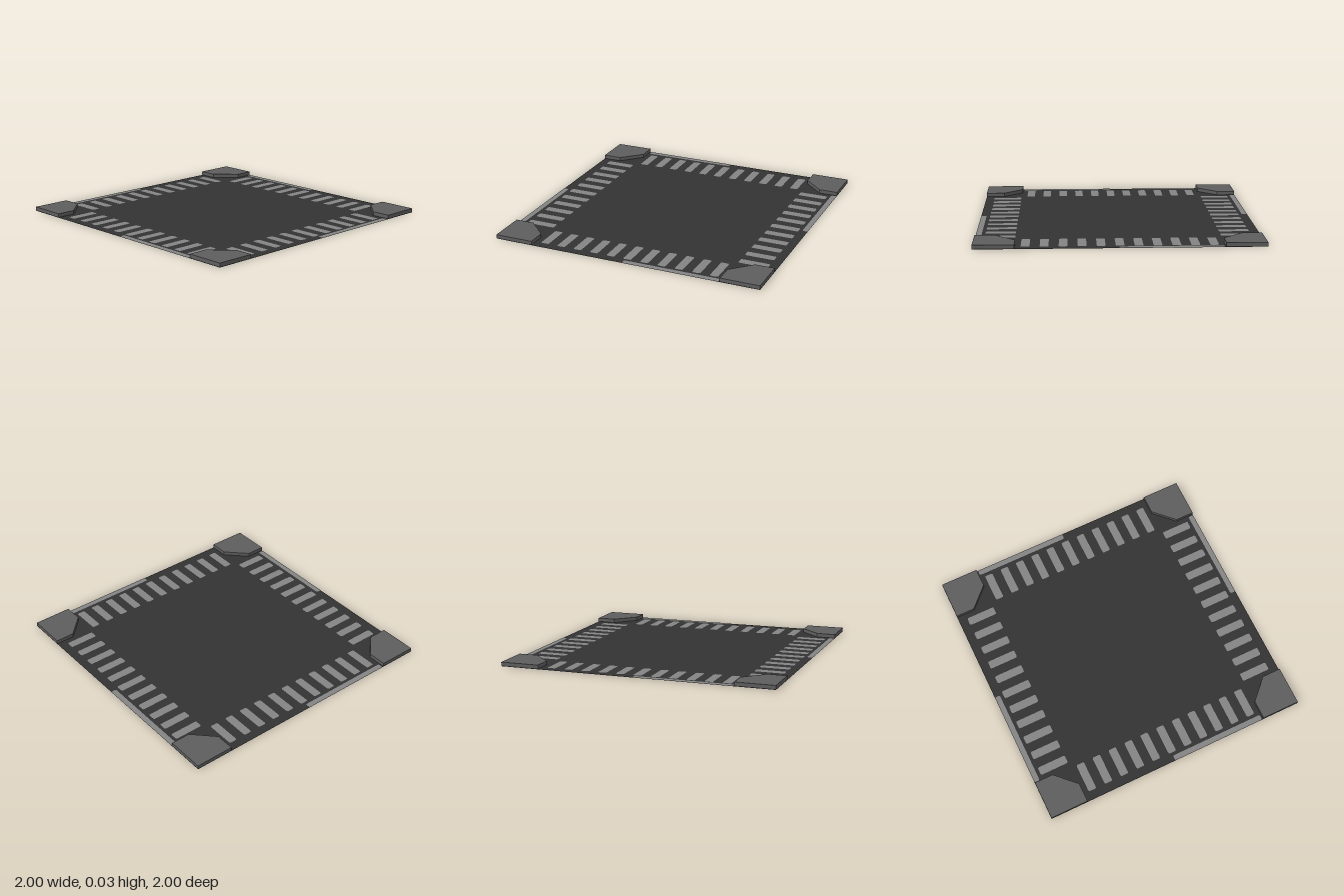
import * as THREE from 'three';

const mat = (name, color, side = THREE.FrontSide) => {
  const m = new THREE.MeshStandardMaterial({ color, side });
  m.name = name;
  return m;
};

// Traces a rounded rectangle, as a shape outline or as a hole
function roundedRect(path, x0, y0, x1, y1, r) {
  path.moveTo(x0 + r, y0);
  path.lineTo(x1 - r, y0);
  path.quadraticCurveTo(x1, y0, x1, y0 + r);
  path.lineTo(x1, y1 - r);
  path.quadraticCurveTo(x1, y1, x1 - r, y1);
  path.lineTo(x0 + r, y1);
  path.quadraticCurveTo(x0, y1, x0, y1 - r);
  path.lineTo(x0, y0 + r);
  path.quadraticCurveTo(x0, y0, x0 + r, y0);
  return path;
}

export function createModel() {
  const dark = mat('charcoal panel', 0x333333, THREE.DoubleSide);
  const light = mat('light grey', 0x838383, THREE.DoubleSide);
  const grey = mat('mid grey', 0x5d5d5d);
  const model = new THREE.Group();
  model.name = 'squarePanel';

  const add = (parent, name, geometry, material, y = 0) => {
    const mesh = new THREE.Mesh(geometry, material);
    mesh.name = name;
    mesh.position.y = y;
    parent.add(mesh);
  };
  // Shapes are drawn in x/y and laid flat, so shape y becomes -z
  const flat = (shapes) => new THREE.ShapeGeometry(shapes, 3).rotateX(-Math.PI / 2);

  // Slot rectangles: eleven along each of the four sides
  const slots = [];
  for (let i = 0; i < 11; i++) {
    const c = (i - 5) * 0.129;
    for (const s of [-1, 1]) {
      const a = s > 0 ? 0.72 : -0.935, b = s > 0 ? 0.935 : -0.72;
      slots.push([c - 0.03, a, c + 0.03, b], [a, c - 0.03, b, c + 0.03]);
    }
  }

  // Thin base panel pierced by the slots, and the inlays filling them
  const panel = new THREE.Shape([[-1, -1], [1, -1], [1, 1], [-1, 1]].map(p => new THREE.Vector2(...p)));
  panel.holes = slots.map(s => roundedRect(new THREE.Path(), ...s, 0.012));
  add(model, 'basePanel', flat(panel), dark);
  add(model, 'slotInlays', flat(slots.map(s => roundedRect(new THREE.Shape(), ...s, 0.012))), light);

  // Chamfered corner block and edge strip, repeated at each quarter turn
  const corner = new THREE.Shape(
    [[-1, 0.715], [-0.86, 0.715], [-0.715, 0.86], [-0.715, 1], [-1, 1]].map(p => new THREE.Vector2(...p)));
  const blockGeometry = new THREE.ExtrudeGeometry(corner, { depth: 0.028, bevelEnabled: false }).rotateX(-Math.PI / 2);
  const stripGeometry = flat(roundedRect(new THREE.Shape(), -0.705, 0.96, 0.008, 1, 0.012));
  for (let i = 0; i < 4; i++) {
    const side = new THREE.Group();
    side.name = 'side' + (i + 1);
    side.rotation.y = -i * Math.PI / 2;
    add(side, 'cornerBlock', blockGeometry, grey, 0.002);
    add(side, 'edgeStrip', stripGeometry, light, 0.002);
    model.add(side);
  }
  return model;
}
